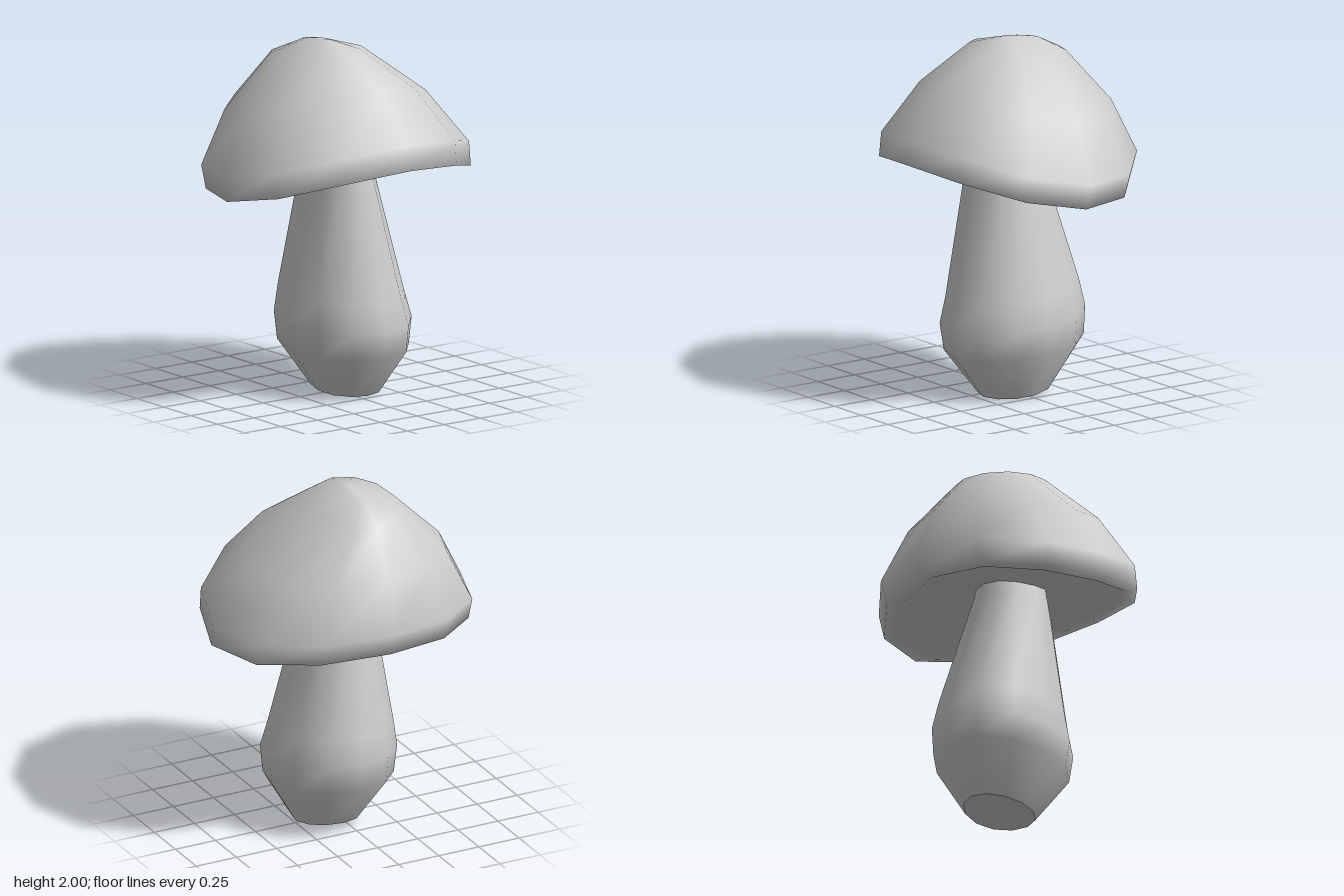
import * as THREE from 'three';

const SIDES = 12;

// A ring: c = centre [x, z], r = radii [x, z], y = heights at [sides, front, back].
function ringPoints({ c, r, y }) {
  const lean = (y[1] - y[2]) / 2;
  const bow = (y[1] + y[2]) / 2 - y[0];
  return Array.from({ length: SIDES }, (_, j) => {
    const t = (j / SIDES) * Math.PI * 2;
    const s = Math.sin(t);
    return [c[0] + r[0] * Math.cos(t), y[0] + lean * s + bow * s * s, c[1] + r[1] * s];
  });
}

// Smooth skin through rings; optional end points close it with fans.
function loft(rings, start, end) {
  const pos = rings.flatMap(ringPoints);
  const idx = [];
  const last = (rings.length - 1) * SIDES;
  for (let j = 0; j < SIDES; j++) {
    const k = (j + 1) % SIDES;
    for (let i = 0; i < last; i += SIDES) {
      const a = i + j, b = i + k, c = a + SIDES, d = b + SIDES;
      idx.push(a, c, b, b, c, d);
    }
  }
  const fan = (point, base, flip) => {
    const p = pos.push(point) - 1;
    for (let j = 0; j < SIDES; j++) {
      const k = (j + 1) % SIDES;
      idx.push(p, base + (flip ? k : j), base + (flip ? j : k));
    }
  };
  if (start) fan(start, 0, false);
  if (end) fan(end, last, true);
  const geo = new THREE.BufferGeometry();
  geo.setAttribute('position', new THREE.Float32BufferAttribute(pos.flat(), 3));
  geo.setIndex(idx);
  geo.computeVertexNormals();
  return geo;
}

export function createModel() {
  const group = new THREE.Group();
  const material = new THREE.MeshStandardMaterial({ color: 0xcccccc });
  const add = (name, geometry) => {
    const mesh = new THREE.Mesh(geometry, material);
    mesh.name = name;
    group.add(mesh);
  };

  // Cap: hollow underside, saddle-shaped rim, then the dome
  add('cap', loft([
    { c: [0, 0.01], r: [0.2, 0.2], y: [1.32, 1.37, 1.33] },
    { c: [0, 0.01], r: [0.58, 0.52], y: [1.25, 1.41, 1.29] },
    { c: [0, 0.02], r: [0.68, 0.6], y: [1.19, 1.385, 1.245] },
    { c: [0, 0.02], r: [0.765, 0.67], y: [1.185, 1.38, 1.24] },
    { c: [0, -0.01], r: [0.77, 0.685], y: [1.315, 1.52, 1.37] },
    { c: [-0.025, -0.07], r: [0.58, 0.51], y: [1.62, 1.78, 1.65] },
    { c: [-0.06, -0.11], r: [0.24, 0.28], y: [1.925, 1.965, 1.89] },
    { c: [-0.05, -0.12], r: [0.03, 0.12], y: [1.985, 2, 1.965] },
  ], [0, 1.34, 0.01], [-0.05, 1.988, -0.12]));

  // Stem: tilted foot, swollen belly, narrowing neck that ends inside the cap
  const foot = { c: [0.065, -0.005], r: [0.185, 0.215], y: [0.015, 0, 0.05] };
  add('stem', loft([
    foot,
    { c: [0.05, -0.005], r: [0.35, 0.405], y: [0.27, 0.25, 0.32] },
    { c: [0.045, 0], r: [0.367, 0.42], y: [0.43, 0.4, 0.48] },
    { c: [0.035, -0.005], r: [0.335, 0.385], y: [0.59, 0.55, 0.63] },
    { c: [-0.01, 0.015], r: [0.2, 0.23], y: [1.25, 1.25, 1.25] },
    { c: [-0.01, 0.015], r: [0.18, 0.2], y: [1.36, 1.4, 1.36] },
  ]));

  // Flat cut end of the stem
  add('stemBase', loft([foot], [0.065, 0.02, -0.005]));

  return group;
}
